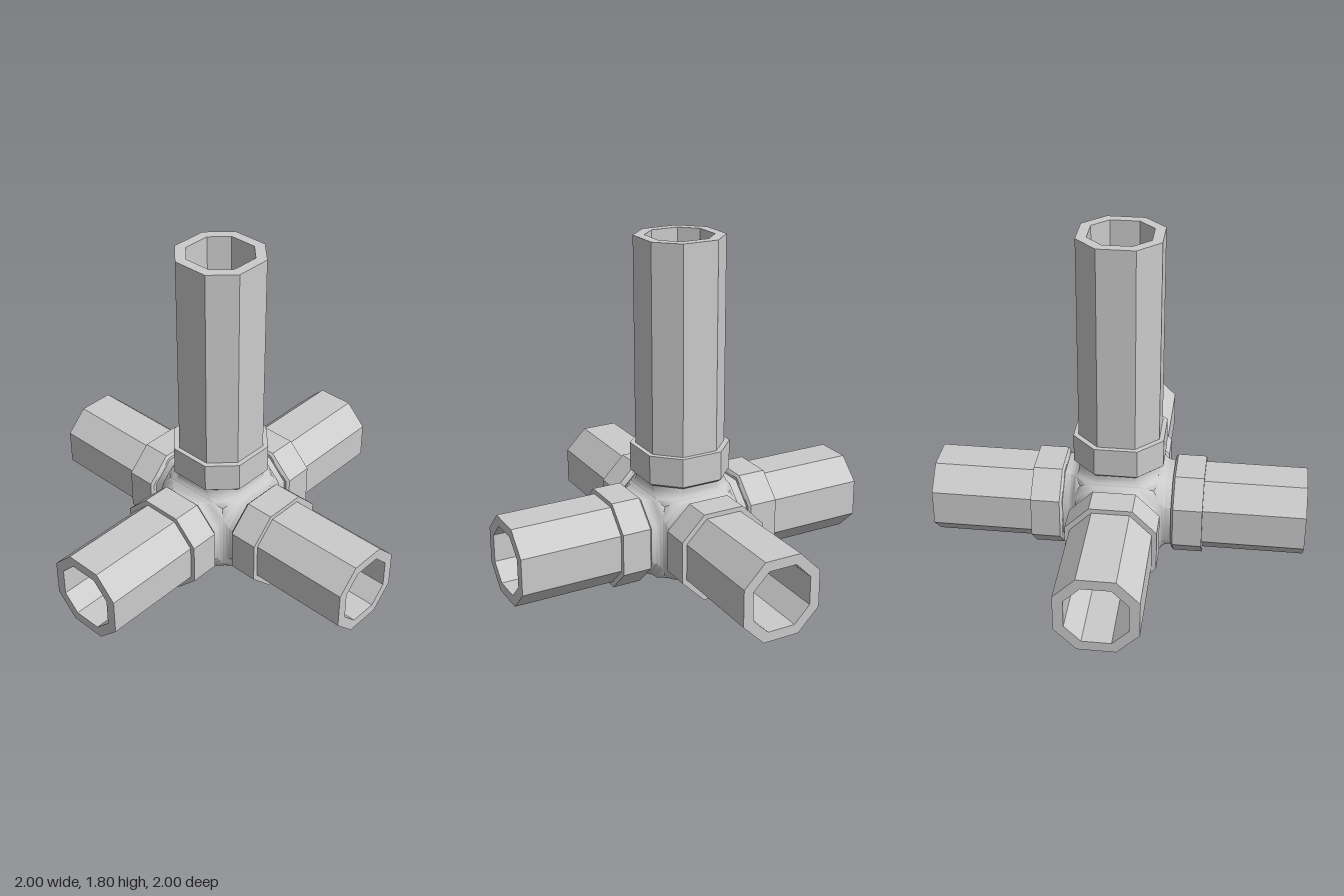
import * as THREE from 'three';
import { toCreasedNormals } from 'three/addons/utils/BufferGeometryUtils.js';

const material = new THREE.MeshStandardMaterial({ color: 0xcccccc });
const CENTRE_Y = 0.245;

// Chamfered square: h is half the width, f is half the length of each flat.
function octagon(t, h, f) {
  return [[h, -f], [h, f], [f, h], [-f, h], [-h, f], [-h, -f], [-f, -h], [f, -h]]
    .map(([x, y]) => [x, y, t]);
}

// Loft through rings [distance along +z, h, f].
function loft(rings, crease, closed = true) {
  const sections = rings.map(r => octagon(...r));
  const pos = [];
  const last = closed ? rings.length : rings.length - 1;
  for (let i = 0; i < last; i++) {
    const next = (i + 1) % rings.length;
    for (let j = 0; j < 8; j++) {
      const k = (j + 1) % 8;
      const a = sections[i][j], b = sections[i][k];
      const c = sections[next][k], d = sections[next][j];
      if (rings[i][1] > 0) pos.push(...a, ...b, ...c);
      if (rings[next][1] > 0) pos.push(...a, ...c, ...d);
      else if (rings[i][1] > 0) continue;
    }
  }
  const geo = new THREE.BufferGeometry();
  geo.setAttribute('position', new THREE.Float32BufferAttribute(pos, 3));
  geo.computeVertexNormals();
  return toCreasedNormals(geo, crease);
}

function part(name, geometry) {
  const mesh = new THREE.Mesh(geometry, material);
  mesh.name = name;
  return mesh;
}

// Hub socket flares into its neighbours; its inner end is a cavity wall.
const socketGeo = loft([
  [0.155, 0.152, 0.072], [0.155, 0.213, 0.18], [0.2, 0.22, 0.17],
  [0.222, 0.222, 0.15], [0.236, 0.214, 0.125], [0.255, 0.21, 0.105],
  [0.31, 0.21, 0.098], [0.31, 0.152, 0.072],
], 1.0);

// Raised octagonal collar with a bevelled inner edge.
const collarGeo = loft([
  [0.288, 0.2, 0.094], [0.29, 0.225, 0.106], [0.302, 0.238, 0.112],
  [0.457, 0.238, 0.112], [0.457, 0.2, 0.094],
], 0.6);

function pipeGeo(length) {
  return loft([
    [0.305, 0.213, 0.098], [length, 0.213, 0.098],
    [length, 0.16, 0.075], [0.305, 0.16, 0.075],
  ], 0.6);
}

function arm(name, length, rx, ry) {
  const group = new THREE.Group();
  group.name = name;
  group.add(part('hubSocket', socketGeo), part('collar', collarGeo), part('pipe', pipeGeo(length)));
  group.rotation.set(rx, ry, 0);
  return group;
}

export function createModel() {
  const model = new THREE.Group();
  model.name = 'pipeJunction';
  const joint = new THREE.Group();
  joint.name = 'joint';
  joint.position.y = CENTRE_Y;
  model.add(joint);

  // Four level arms and one tall upright.
  ['frontArm', 'leftArm', 'backArm', 'rightArm'].forEach((name, i) =>
    joint.add(arm(name, 1, 0, i * Math.PI / 2)));
  joint.add(arm('uprightArm', 1.56, -Math.PI / 2, 0));

  // Rounded floor closing the underside of the hub.
  const floor = part('hubFloor', loft([
    [0.155, 0, 0], [0.155, 0.213, 0.18], [0.19, 0.214, 0.18],
    [0.215, 0.205, 0.17], [0.232, 0.185, 0.15], [0.242, 0.14, 0.11], [0.245, 0, 0],
  ], 1.0, false));
  floor.rotation.x = Math.PI / 2;
  joint.add(floor);
  return model;
}
